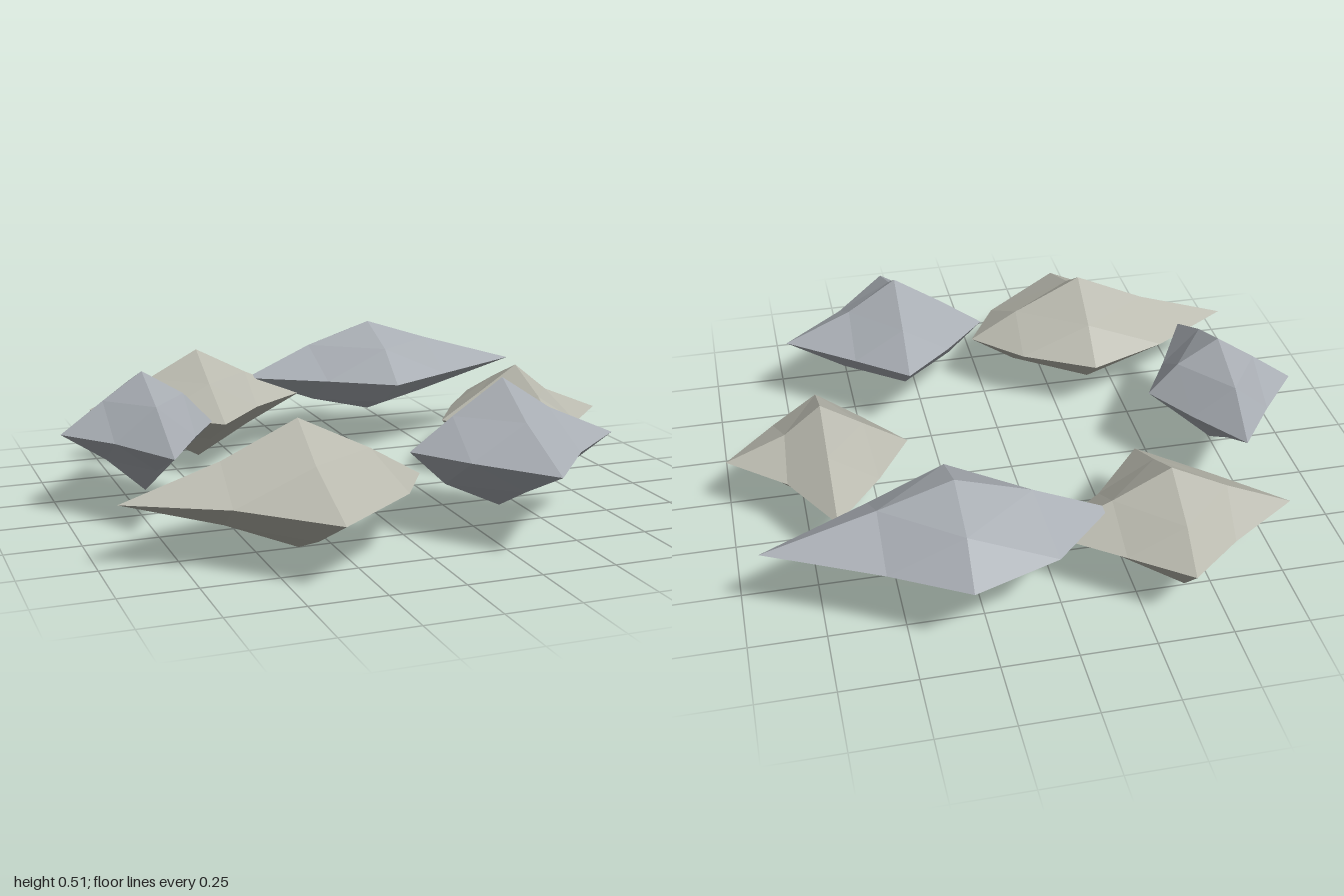
import * as THREE from 'three';

const warm = new THREE.MeshStandardMaterial({ color: 0xb9b9ae, flatShading: true });
const cool = new THREE.MeshStandardMaterial({ color: 0xa8adb3, flatShading: true });

// Per rock: tip distances [+x,-x,+y,-y,+z,-z], overall half sizes [x,y,z], and
// ridge factors (++, +-, -+, --) for the xz, xy and yz planes.
const rocks = [
  { tips: [0.33, 0.29, 0.185, 0.185, 0.34, 0.41], size: [0.3, 0.2, 0.36],
    xz: [0.52, 0.46, 0.5, 0.55], xy: [0.42, 0.53, 0.47, 0.54], yz: [0.53, 0.52, 0.58, 0.52] },
  { tips: [0.41, 0.32, 0.22, 0.21, 0.43, 0.315], size: [0.36, 0.22, 0.36],
    xz: [0.53, 0.49, 0.53, 0.46], xy: [0.48, 0.57, 0.48, 0.54], yz: [0.5, 0.5, 0.52, 0.5] },
  { tips: [0.41, 0.57, 0.22, 0.2, 0.435, 0.295], size: [0.5, 0.21, 0.33],
    xz: [0.59, 0.49, 0.52, 0.56], xy: [0.48, 0.5, 0.5, 0.48], yz: [0.52, 0.52, 0.58, 0.52] },
  { tips: [0.24, 0.28, 0.195, 0.22, 0.43, 0.36], size: [0.26, 0.2, 0.34],
    xz: [0.52, 0.51, 0.52, 0.52], xy: [0.54, 0.5, 0.52, 0.5], yz: [0.58, 0.6, 0.52, 0.52] },
  { tips: [0.41, 0.415, 0.2, 0.215, 0.39, 0.305], size: [0.38, 0.2, 0.35],
    xz: [0.49, 0.48, 0.56, 0.46], xy: [0.5, 0.52, 0.5, 0.52], yz: [0.52, 0.52, 0.52, 0.56] },
  { tips: [0.61, 0.5, 0.19, 0.16, 0.32, 0.32], size: [0.44, 0.2, 0.33],
    xz: [0.57, 0.55, 0.51, 0.65], xy: [0.55, 0.52, 0.56, 0.52], yz: [0.57, 0.62, 0.5, 0.52] },
];

// Push the points of a once-divided octahedron out to the rock's tips and ridges
function rockGeometry({ tips, size, xz, xy, yz }) {
  const geometry = new THREE.OctahedronGeometry(1, 1);
  const pos = geometry.attributes.position;
  const pick = (list, a, b) => list[(a < 0 ? 2 : 0) + (b < 0 ? 1 : 0)];
  for (let i = 0; i < pos.count; i++) {
    const [x, y, z] = [pos.getX(i), pos.getY(i), pos.getZ(i)]
      .map(v => (Math.abs(v) < 0.1 ? 0 : Math.sign(v)));
    const dir = [x, y, z];
    let p;
    if (Math.abs(x) + Math.abs(y) + Math.abs(z) === 1) {
      p = dir.map((s, a) => s * tips[a * 2 + (s < 0 ? 1 : 0)]);
    } else {
      const k = !y ? pick(xz, x, z) : !z ? pick(xy, x, y) : pick(yz, y, z);
      p = dir.map((s, a) => s * k * size[a]);
    }
    pos.setXYZ(i, ...p);
  }
  geometry.computeVertexNormals();
  return geometry;
}

export function createModel() {
  const group = new THREE.Group();
  group.name = 'rockRing';
  // Six rocks in a ring, alternating in colour and height
  rocks.forEach((rock, i) => {
    const angle = (i * Math.PI) / 3;
    const mesh = new THREE.Mesh(rockGeometry(rock), i % 2 ? cool : warm);
    mesh.name = `rock${i + 1}`;
    mesh.position.set(
      -0.025 + 0.695 * Math.cos(angle),
      i % 2 ? 0.29 : 0.217,
      -0.06 + 0.695 * Math.sin(angle)
    );
    group.add(mesh);
  });
  return group;
}
